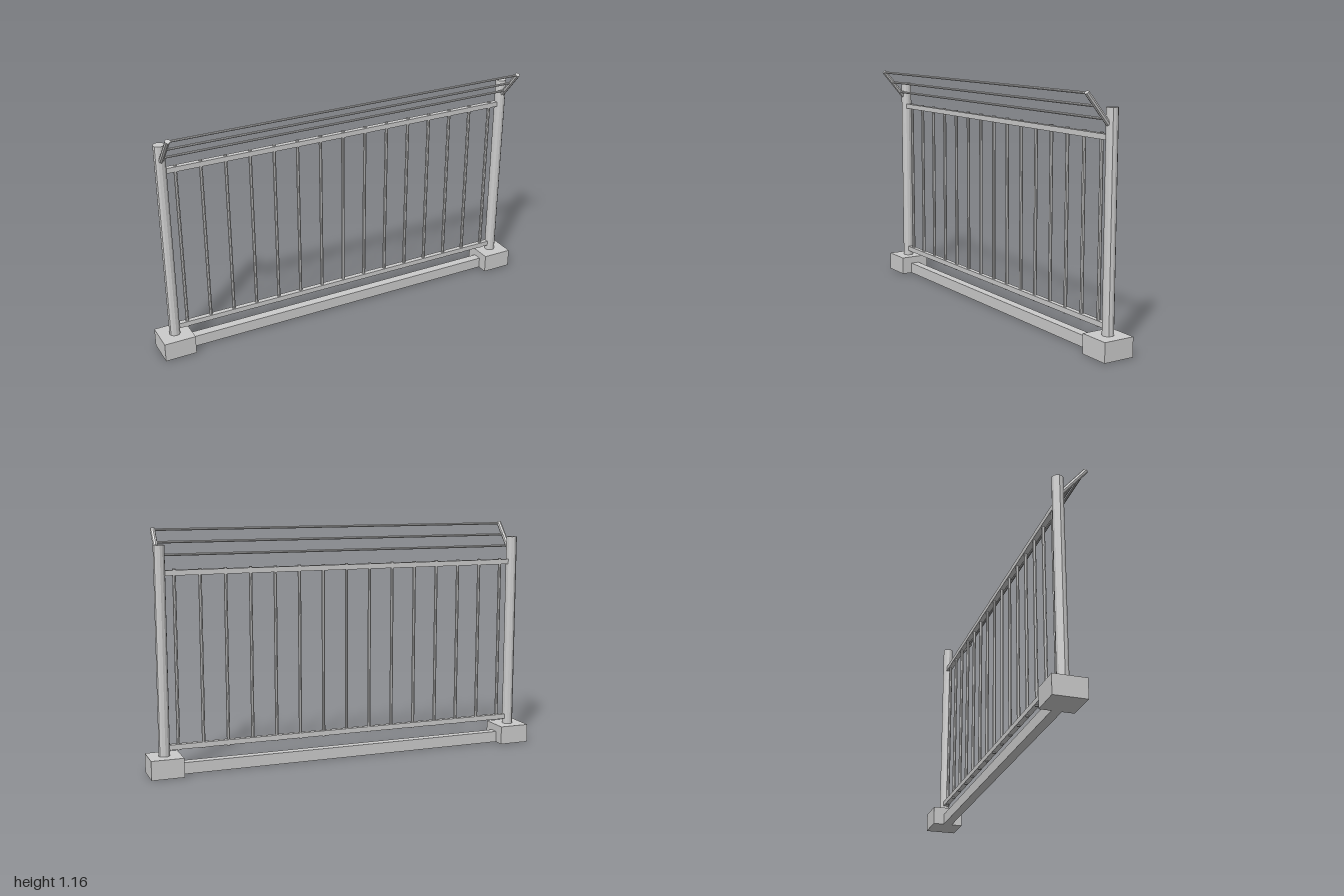
import * as THREE from 'three';

const material = new THREE.MeshStandardMaterial({ color: 0xcccccc, flatShading: true });
const Z = -0.034; // plane of the fence

export function createModel() {
  const group = new THREE.Group();

  function add(name, geometry, x, y, z) {
    const mesh = new THREE.Mesh(geometry, material);
    mesh.name = name;
    mesh.position.set(x, y, z);
    group.add(mesh);
    return mesh;
  }

  // Round bar running between two points
  function bar(name, from, to, radius, sides) {
    const a = new THREE.Vector3(...from), b = new THREE.Vector3(...to);
    const dir = b.clone().sub(a);
    const mid = a.clone().add(b).multiplyScalar(0.5);
    const mesh = add(name, new THREE.CylinderGeometry(radius, radius, dir.length(), sides), mid.x, mid.y, mid.z);
    mesh.quaternion.setFromUnitVectors(new THREE.Vector3(0, 1, 0), dir.normalize());
  }

  // Footings, posts and slanted arms at both ends
  for (const [side, s] of [['left', 1], ['right', -1]]) {
    const x = s * 0.922;
    add(side + 'Footing', new THREE.BoxGeometry(0.156, 0.093, 0.156), x, 0.0465, Z);
    bar(side + 'Post', [x, 0.06, Z], [x, 1.085, Z], 0.027, 12);
    bar(side + 'Arm', [x, 1.014, -0.014], [x, 1.152, 0.103], 0.012, 8);
  }

  // Ground beam between the footings
  add('groundBeam', new THREE.BoxGeometry(1.7, 0.056, 0.045), 0, 0.028, Z);

  // Horizontal rails
  for (const [name, y] of [['lowerRail', 0.132], ['upperRail', 0.956]])
    add(name, new THREE.BoxGeometry(1.82, 0.025, 0.025), 0, y, Z);

  // Upright balusters, poking slightly past the rails
  for (let i = -7; i <= 7; i++)
    bar('baluster', [i * 0.122, 0.115, Z], [i * 0.122, 0.974, Z], 0.0085, 8);

  // Wires strung between the arms
  for (const [y, z] of [[1.036, 0.004], [1.092, 0.05], [1.148, 0.097]])
    bar('wire', [-0.922, y, z], [0.922, y, z], 0.006, 8);

  return group;
}
